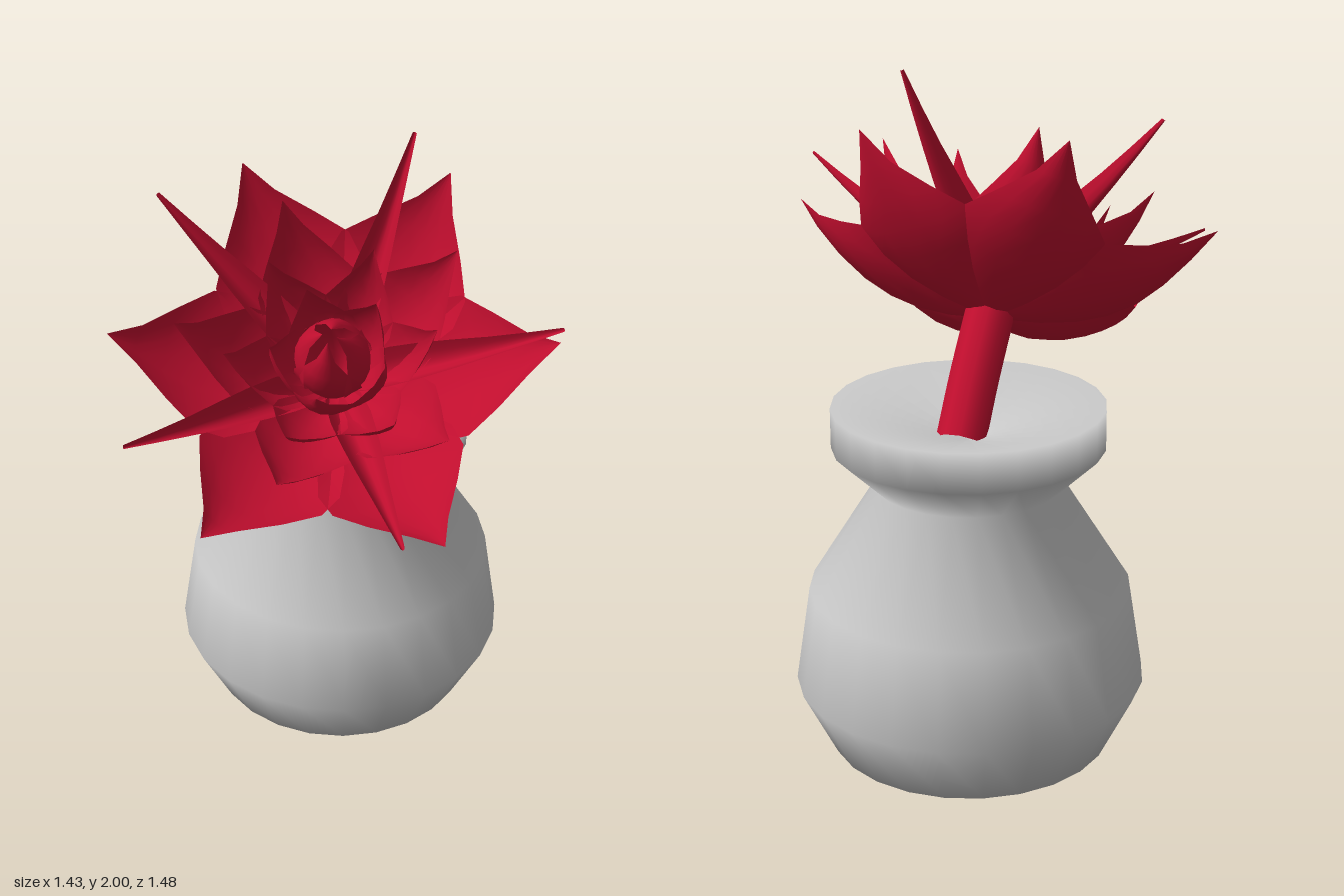
import * as THREE from 'three';

const clay = new THREE.MeshStandardMaterial({ color: 0xcccccc, side: THREE.DoubleSide });
const red = new THREE.MeshStandardMaterial({ color: 0xc00e2e, side: THREE.DoubleSide });

const named = (name, geometry, material) => {
  const mesh = new THREE.Mesh(geometry, material);
  mesh.name = name;
  return mesh;
};

// relative half-width from root to tip
const BROAD = [0.2, 0.5, 0.82, 1, 0.97, 0.65, 0.27, 0];
const NARROW = [0.6, 0.9, 1, 0.9, 0.72, 0.5, 0.3, 0.1];

// cupped petal: a centre line in the x-y plane, widened along z, edges lifted by cup
function petalGeometry({ root, bend, tip, half, cup, outline = BROAD }) {
  const spine = new THREE.QuadraticBezierCurve(
    new THREE.Vector2(...root), new THREE.Vector2(...bend), new THREE.Vector2(...tip));
  const rows = outline.length - 1, cols = 6;
  const positions = [], index = [];
  for (let i = 0; i <= rows; i++) {
    const p = spine.getPoint(i / rows), d = spine.getTangent(i / rows);
    const w = half * outline[i];
    for (let j = 0; j <= cols; j++) {
      const s = (j / cols) * 2 - 1, lift = cup * s * s * w;
      positions.push(p.x - d.y * lift, p.y + d.x * lift, s * w);
      if (i < rows && j < cols) {
        const a = i * (cols + 1) + j, b = a + cols + 1;
        index.push(a, a + 1, b, a + 1, b + 1, b);
      }
    }
  }
  const geometry = new THREE.BufferGeometry();
  geometry.setAttribute('position', new THREE.Float32BufferAttribute(positions, 3));
  geometry.setIndex(index);
  geometry.computeVertexNormals();
  return geometry;
}

// ring of equal petals at the given angles in degrees
function petalRing(name, angles, shape) {
  const ring = new THREE.Group();
  ring.name = name;
  const geometry = petalGeometry(shape);
  for (const angle of angles) {
    const petal = named('petal', geometry, red);
    petal.rotation.y = THREE.MathUtils.degToRad(angle);
    ring.add(petal);
  }
  return ring;
}

const around = (count, start) => Array.from({ length: count }, (_, i) => start + (i * 360) / count);

// closed vase with a shallow dished top
function createVase() {
  const profile = [[0, 0], [0.42, 0], [0.52, 0.2], [0.475, 0.49], [0.275, 0.81], [0.4, 0.93], [0.4, 1.05], [0, 0.94]]
    .map(([r, y]) => new THREE.Vector2(r, y));
  const vase = named('vase', new THREE.LatheGeometry(profile, 24), clay);
  vase.position.set(0.185, 0, -0.215);
  return vase;
}

function createBloom(heart, axis) {
  const bloom = new THREE.Group();
  bloom.name = 'bloom';
  bloom.position.copy(heart);
  // local y follows the stem, local x stays close to the model's x
  const side = new THREE.Vector3(1, 0, 0).addScaledVector(axis, -axis.x).normalize();
  const front = new THREE.Vector3().crossVectors(side, axis);
  bloom.quaternion.setFromRotationMatrix(new THREE.Matrix4().makeBasis(side, axis, front));

  bloom.add(
    petalRing('outerPetals', [32, 88, 148, 210, 273, 336],
      { root: [0.03, -0.03], bend: [0.41, -0.04], tip: [0.645, 0.285], half: 0.22, cup: 0.35 }),
    petalRing('spikePetals', [42, 113, 184, 262, 334],
      { root: [0.03, 0], bend: [0.32, 0.16], tip: [0.645, 0.45], half: 0.06, cup: 1.2, outline: NARROW }),
    petalRing('middlePetals', [10, 82, 147, 225, 292],
      { root: [0.03, 0], bend: [0.33, 0.04], tip: [0.44, 0.4], half: 0.15, cup: 0.45 }),
    petalRing('innerPetals', around(6, 40),
      { root: [0.02, 0], bend: [0.26, 0.08], tip: [0.3, 0.38], half: 0.11, cup: 0.5 }),
    petalRing('heartPetals', around(5, 15),
      { root: [0.02, 0.02], bend: [0.2, 0.14], tip: [0.17, 0.38], half: 0.11, cup: 0.55 }),
    petalRing('budPetals', around(4, 50),
      { root: [0.02, 0.04], bend: [0.2, 0.24], tip: [0.02, 0.43], half: 0.1, cup: 0.5 }));
  return bloom;
}

export function createModel() {
  const model = new THREE.Group();
  model.name = 'flowerInVase';
  const heart = new THREE.Vector3(0.035, 1.26, 0);
  const axis = new THREE.Vector3(-0.36, 0.77, 0.5).normalize();

  // leaning stem from the vase to the bloom
  const stem = new THREE.CatmullRomCurve3([
    new THREE.Vector3(0.21, 0.93, -0.21),
    new THREE.Vector3(0.13, 1.09, -0.11),
    heart.clone().addScaledVector(axis, 0.02)]);
  model.add(createVase(), named('stem', new THREE.TubeGeometry(stem, 8, 0.075, 10), red), createBloom(heart, axis));
  return model;
}
